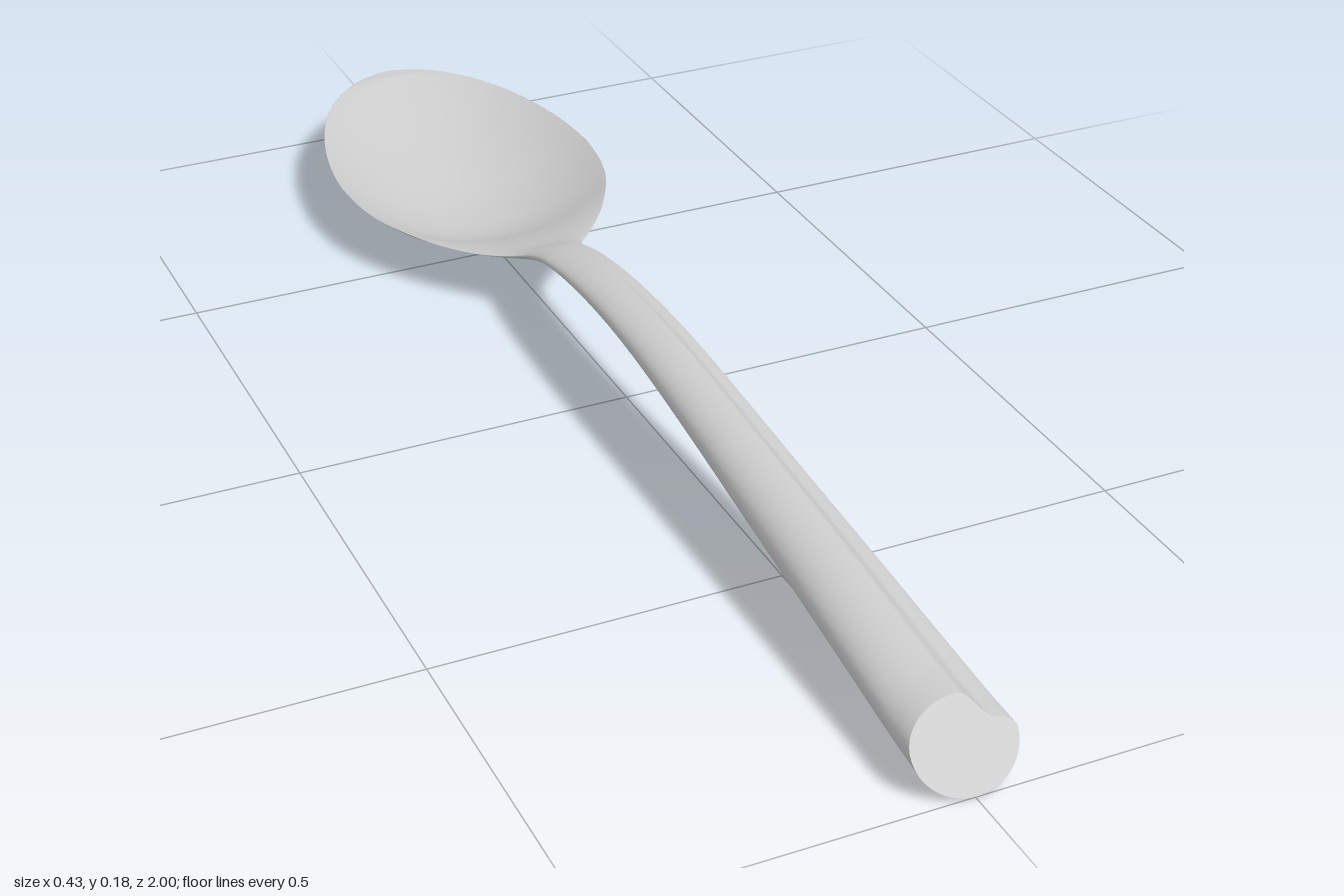
import * as THREE from 'three';

const smooth = THREE.MathUtils.smoothstep;
const lerp = THREE.MathUtils.lerp;

// Smooth curve through [z, value] points listed by falling z
function profile(points) {
  const slope = (i) => {
    const a = points[Math.max(i - 1, 0)], b = points[Math.min(i + 1, points.length - 1)];
    return (b[1] - a[1]) / (b[0] - a[0]);
  };
  return (z) => {
    let i = 0;
    while (i < points.length - 2 && z < points[i + 1][0]) i++;
    const [z0, v0] = points[i], [z1, v1] = points[i + 1];
    const h = z1 - z0, t = (z - z0) / h, t2 = t * t, t3 = t2 * t;
    return (2 * t3 - 3 * t2 + 1) * v0 + (t3 - 2 * t2 + t) * h * slope(i)
      + (3 * t2 - 2 * t3) * v1 + (t3 - t2) * h * slope(i + 1);
  };
}

const BELLY = -0.63; // widest point of the bowl
const halfWidth = profile([[1, 0.073], [0.6, 0.06], [0.3, 0.051], [0, 0.045], [-0.2, 0.042], [-0.26, 0.043],
  [-0.3, 0.058], [-0.36, 0.104], [-0.42, 0.147], [-0.5, 0.189], [-0.56, 0.206], [BELLY, 0.213], [-0.7, 0.213]]);
const handleTop = profile([[1, 0.102], [0.93, 0.104], [0.5, 0.147], [0.2, 0.172], [0.06, 0.175], [-0.08, 0.166],
  [-0.2, 0.144], [-0.27, 0.122], [-0.32, 0.098], [-0.4, 0.08]]);
const handleBottom = profile([[1, 0], [0.5, 0.064], [0.2, 0.108], [0.05, 0.124], [-0.08, 0.125], [-0.2, 0.115],
  [-0.27, 0.096], [-0.32, 0.079], [-0.4, 0.055]]);
const rimHeight = profile([[-0.25, 0.12], [-0.3, 0.1], [-0.36, 0.086], [-0.45, 0.086], [BELLY, 0.093], [-1, 0.105]]);
const bowlBottom = profile([[-0.25, 0.1], [-0.3, 0.087], [-0.36, 0.068], [-0.42, 0.046], [-0.5, 0.013], [-0.57, 0.002],
  [-0.66, 0.006], [-0.8, 0.035], [-0.9, 0.066], [-1, 0.101]]);

// Point of the cross-section at station z and angle a
function sectionPoint(z, a) {
  const u = Math.cos(a), s = Math.sin(a);
  const bowl = 1 - smooth(z, -0.37, -0.25);
  const t = Math.min(Math.max((BELLY - z) / (1 + BELLY), 0), 1);
  const w = z < BELLY ? 0.213 * Math.sqrt(1 - Math.pow(t, 1.8)) : halfWidth(z);

  // Handle: an oval with a groove stepped into its upper left side
  const zh = Math.max(z, -0.4);
  const top = handleTop(zh), bottom = handleBottom(zh), mid = lerp(bottom, top, 0.53);
  const groove = 1 - 0.57 * smooth(u, 0.1, 0.62) * smooth(z, -0.22, 0.05);
  const yHandle = s > 0 ? mid + (top - mid) * s * groove : mid + (mid - bottom) * s;

  // Bowl: a thin dished shell
  const zb = Math.min(z, -0.25);
  const rim = rimHeight(zb), depth = rim - bowlBottom(zb);
  const dish = s > 0 ? Math.max(depth - 0.012, 0) : depth;
  const yBowl = rim - dish * s * s + 0.002 * s;

  const y = lerp(yHandle, yBowl, bowl);
  const slant = 0.68 * smooth(z, 0.6, 1) * (y - bottom);
  return new THREE.Vector3(w * u + 0.003 * (1 - bowl), y, z - slant);
}

function geometryFrom(positions, index) {
  const g = new THREE.BufferGeometry();
  g.setAttribute('position', new THREE.Float32BufferAttribute(positions, 3));
  g.setIndex(index);
  g.computeVertexNormals();
  return g;
}

export function createModel() {
  const group = new THREE.Group();
  group.name = 'spoon';
  const material = new THREE.MeshStandardMaterial({ color: 0xcccccc, side: THREE.DoubleSide });

  // Stations from the handle end to the tip, tighter towards the tip
  const stations = [];
  for (let i = 0; i < 100; i++) stations.push(lerp(1, BELLY, i / 100));
  for (let i = 0; i <= 40; i++) stations.push(BELLY - (1 + BELLY) * Math.sin(i / 40 * Math.PI / 2));

  // Handle and bowl in one continuous skin
  const N = 80, positions = [], index = [];
  stations.forEach((z, i) => {
    for (let j = 0; j < N; j++) {
      positions.push(...sectionPoint(z, j / N * Math.PI * 2).toArray());
      if (i === stations.length - 1) continue;
      const k = (j + 1) % N, a = i * N + j, b = i * N + k, c = a + N, d = b + N;
      index.push(a, c, b, b, c, d);
    }
  });
  const body = new THREE.Mesh(geometryFrom(positions, index), material);
  body.name = 'handleAndBowl';
  group.add(body);

  // Flat slanted face closing the handle
  const capPositions = [0.003, 0.05, 1 - 0.68 * 0.05], capIndex = [];
  for (let j = 0; j < N; j++) {
    capPositions.push(...sectionPoint(1, j / N * Math.PI * 2).toArray());
    capIndex.push(0, j + 1, (j + 1) % N + 1);
  }
  const cap = new THREE.Mesh(geometryFrom(capPositions, capIndex), material);
  cap.name = 'handleEnd';
  group.add(cap);

  return group;
}
